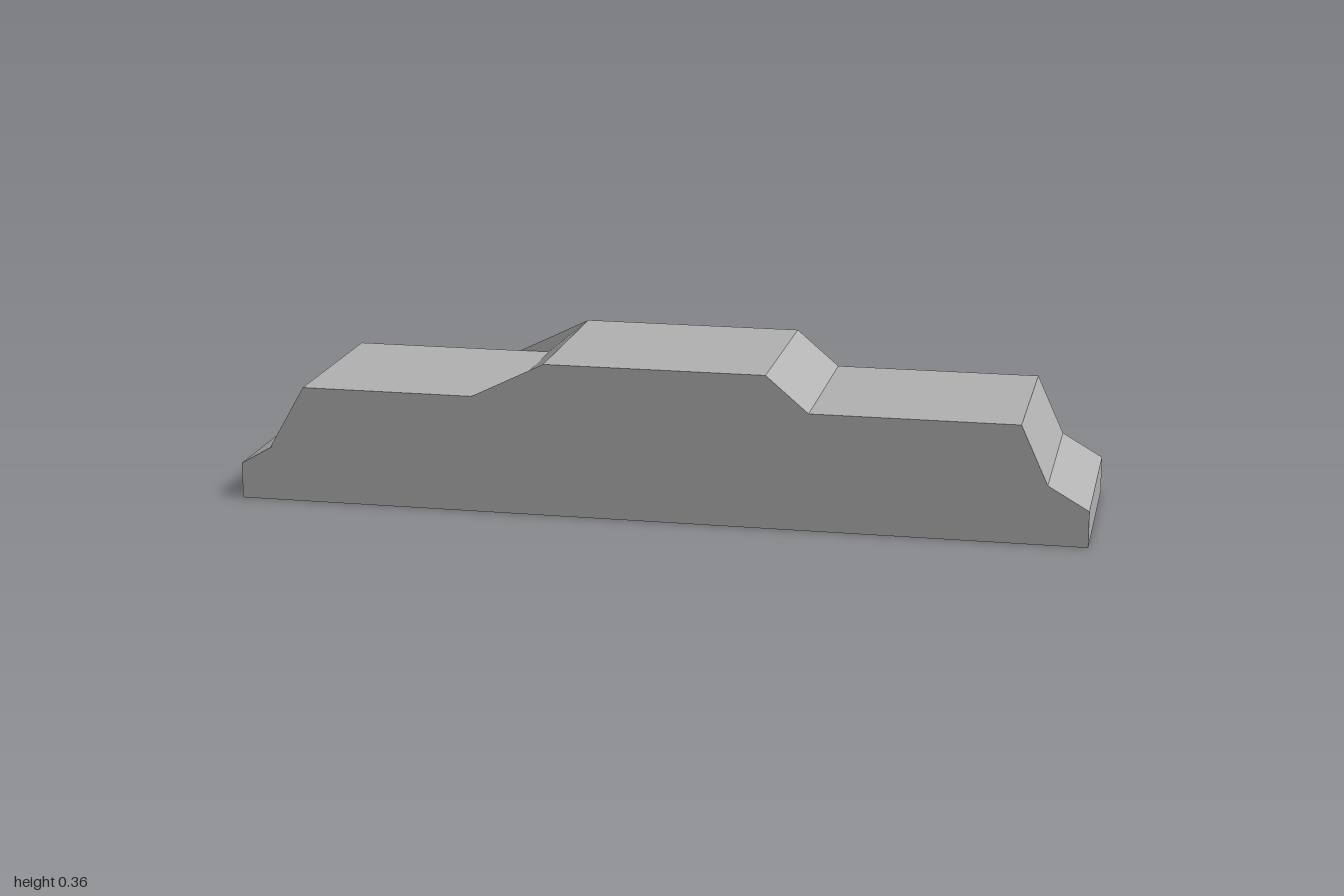
import * as THREE from 'three';

const HALF_DEPTH = 0.23;

// Right half of the stepped outline, from the base corner up to the roof
const HALF_PROFILE = [
  [1, 0], [1, 0.085], [0.905, 0.14], [0.842, 0.278], [0.36, 0.278], [0.26, 0.363],
];

// Thin triangles closing the notches on the -x half of each flank
const GUSSETS = {
  roofGusset: [[-0.433, 0.278], [-0.36, 0.278], [-0.26, 0.363]],
  endGusset: [[-0.928, 0.127], [-0.905, 0.14], [-0.842, 0.278]],
};

const toShape = (points) => new THREE.Shape(points.map(([x, y]) => new THREE.Vector2(x, y)));

export function createModel() {
  const group = new THREE.Group();
  group.name = 'steppedBlock';

  const grey = new THREE.MeshStandardMaterial({ color: 0xb2b2b2, side: THREE.DoubleSide });
  grey.name = 'plain grey';

  // Body: mirrored outline extruded across the depth
  const mirrored = HALF_PROFILE.map(([x, y]) => [-x, y]).reverse();
  const bodyGeometry = new THREE.ExtrudeGeometry(toShape([...HALF_PROFILE, ...mirrored]), {
    depth: 2 * HALF_DEPTH,
    bevelEnabled: false,
  });
  bodyGeometry.translate(0, 0, -HALF_DEPTH);
  const body = new THREE.Mesh(bodyGeometry, grey);
  body.name = 'body';
  group.add(body);

  // Flat gussets on the front and back flanks
  for (const [name, points] of Object.entries(GUSSETS)) {
    for (const side of [1, -1]) {
      const gusset = new THREE.Mesh(new THREE.ShapeGeometry(toShape(points)), grey);
      gusset.name = name + (side > 0 ? 'Front' : 'Back');
      gusset.position.z = side * HALF_DEPTH;
      group.add(gusset);
    }
  }

  return group;
}
